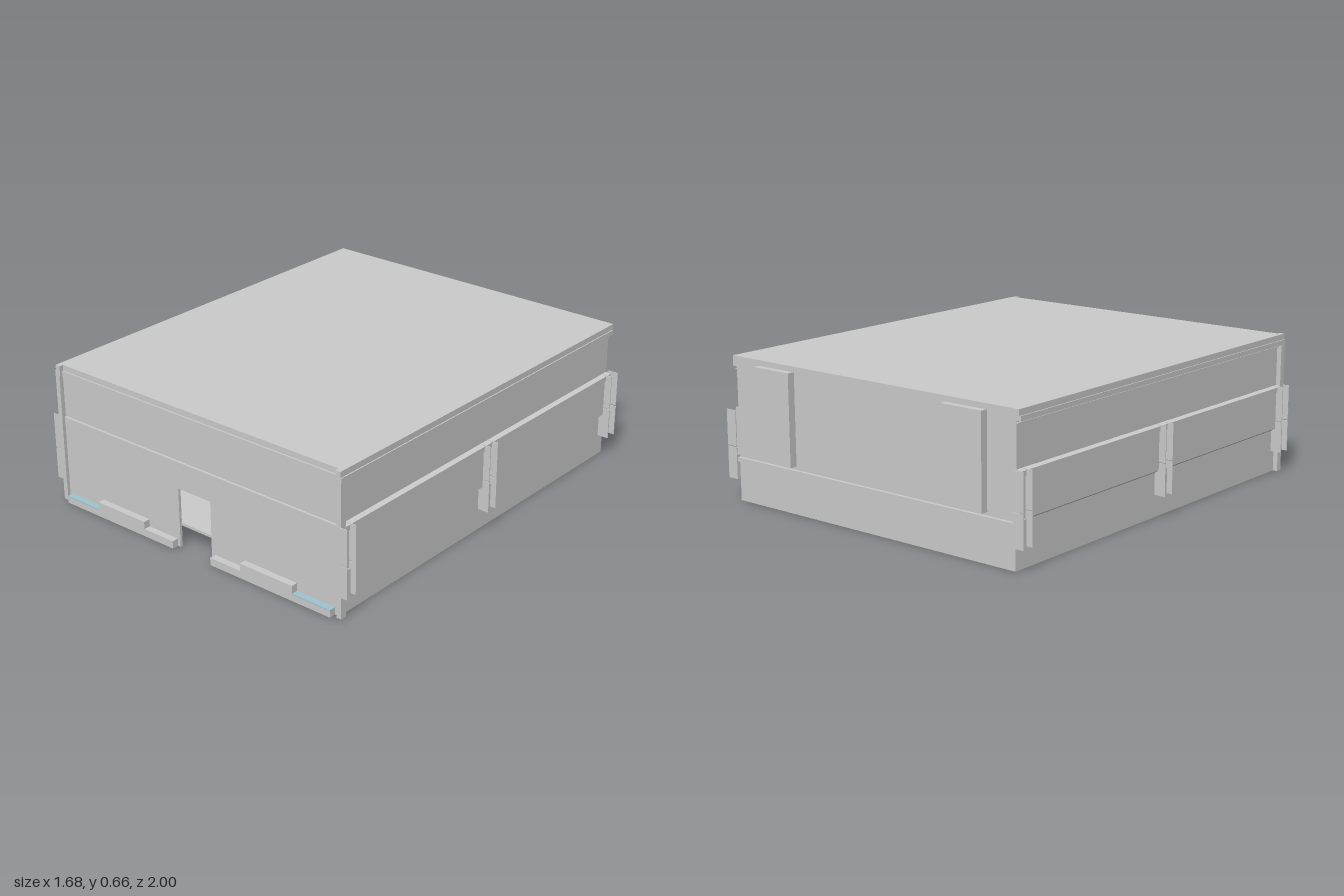
import * as THREE from 'three';

const grey = new THREE.MeshStandardMaterial({ color: 0xcccccc, flatShading: true });
const blue = new THREE.MeshStandardMaterial({ color: 0x9fc4d0, flatShading: true });

export function createModel() {
  const root = new THREE.Group();

  function add(name, geometry, material = grey) {
    const mesh = new THREE.Mesh(geometry, material);
    mesh.name = name;
    root.add(mesh);
    return mesh;
  }
  // Box given by its limits on each axis
  function box(name, x0, x1, y0, y1, z0, z1, material) {
    const mesh = add(name, new THREE.BoxGeometry(x1 - x0, y1 - y0, z1 - z0), material);
    mesh.position.set((x0 + x1) / 2, (y0 + y1) / 2, (z0 + z1) / 2);
    return mesh;
  }
  // The same box on both sides of x = 0
  function pair(name, x0, x1, y0, y1, z0, z1, material) {
    box(name, x0, x1, y0, y1, z0, z1, material);
    box(name, -x1, -x0, y0, y1, z0, z1, material);
  }
  function extrude(name, points, z0, z1) {
    const shape = new THREE.Shape(points.map(([x, y]) => new THREE.Vector2(x, y)));
    const geometry = new THREE.ExtrudeGeometry(shape, { depth: z1 - z0, bevelEnabled: false });
    geometry.translate(0, 0, z0);
    return add(name, geometry);
  }

  // Hull: stepped cross-section with a tunnel below, groove, ledge and recessed upper wall
  const half = [
    [0.575, 0.285], [0.575, 0.19], [0.785, 0.19], [0.785, 0.198], [0.806, 0.212],
    [0.806, 0.383], [0.811, 0.385], [0.811, 0.408], [0.787, 0.413], [0.787, 0.655],
  ];
  const mirrored = half.map(([x, y]) => [-x, y]).reverse();
  extrude('hull', [...half, ...mirrored], -0.965, 0.955);
  box('rearFloor', -0.575, 0.575, 0.19, 0.285, -0.965, -0.53);

  // Roof rails with groove lines between the steps
  pair('grooveLip', 0.78, 0.795, 0.595, 0.599, -0.965, 0.955);
  pair('lowerRoofRail', 0.78, 0.81, 0.606, 0.628, -0.965, 0.983);
  pair('upperRoofRail', 0.78, 0.805, 0.628, 0.655, -0.965, 0.983);

  // Front wall with the central opening
  extrude('frontWall', [
    [-0.785, 0], [-0.095, 0], [-0.095, 0.28], [0.09, 0.28], [0.09, 0], [0.785, 0],
    [0.785, 0.385], [-0.785, 0.385],
  ], 0.955, 0.968);
  box('upperFrontWall', -0.785, 0.785, 0.385, 0.655, 0.955, 0.963);
  box('frontLedge', -0.78, 0.78, 0.383, 0.41, 0.957, 0.974);
  box('frontRoofTrim', -0.785, 0.785, 0.603, 0.628, 0.957, 0.97);
  pair('frontCornerPost', 0.785, 0.809, 0, 0.606, 0.953, 0.983);

  // Lower skirts around the open underside
  for (const side of [1, -1]) {
    const skirt = add('sideSkirt', new THREE.PlaneGeometry(1.92, 0.2));
    skirt.rotation.y = side * Math.PI / 2;
    skirt.position.set(side * 0.786, 0.1, -0.005);
  }
  box('backSkirt', -0.785, 0.785, 0, 0.195, -0.968, -0.96);
  box('backSkirtLip', -0.785, 0.785, 0.18, 0.2, -0.98, -0.96);

  // Long boxes under both sides of the floor, with a lowered deck between them
  pair('underfloorBox', 0.58, 0.784, 0, 0.192, -0.4, 0.957);
  box('deck', -0.58, 0.58, 0.1, 0.113, -0.53, 0.957);
  pair('deckSeam', 0.245, 0.255, 0.096, 0.1, -0.2, 0.95);

  // Cross beam and bent brace under the deck
  box('crossBeam', -0.62, 0.62, 0.035, 0.085, -0.47, -0.41);
  box('braceBar', -0.33, 0.33, 0.07, 0.1, -0.25, -0.21);
  for (const side of [1, -1]) {
    const arm = box('braceArm', -0.02, 0.02, 0.07, 0.1, -0.16, 0.16);
    arm.position.x = side * 0.415;
    arm.position.z = -0.365;
    arm.rotation.y = -side * Math.atan2(0.17, 0.27);
  }

  // Back wall details
  pair('backBox', 0.43, 0.64, 0.215, 0.63, -1, -0.96);
  box('backRoofTrim', -0.805, 0.805, 0.63, 0.655, -0.97, -0.96);

  // Channel brackets: split pairs of thin fins joined by a web below
  for (const z of [0.955, 0.003, -0.957]) {
    for (const dz of [-0.027, 0.027]) {
      pair('lowerBracketFin', 0.785, 0.84, 0.1, 0.245, z + dz - 0.002, z + dz + 0.002);
      pair('upperBracketFin', 0.785, 0.84, 0.25, 0.413, z + dz - 0.002, z + dz + 0.002);
    }
    pair('bracketWeb', 0.785, 0.812, 0.1, 0.212, z - 0.027, z + 0.027);
  }

  // Low bumper strips along the front, with lamps on the outer ends
  pair('innerBumper', 0.11, 0.28, 0, 0.035, 0.96, 1);
  pair('middleBumper', 0.28, 0.565, 0, 0.07, 0.96, 1);
  pair('outerBumper', 0.565, 0.765, 0, 0.03, 0.96, 1);
  pair('lamp', 0.565, 0.765, 0.03, 0.034, 0.96, 1, blue);

  return root;
}
